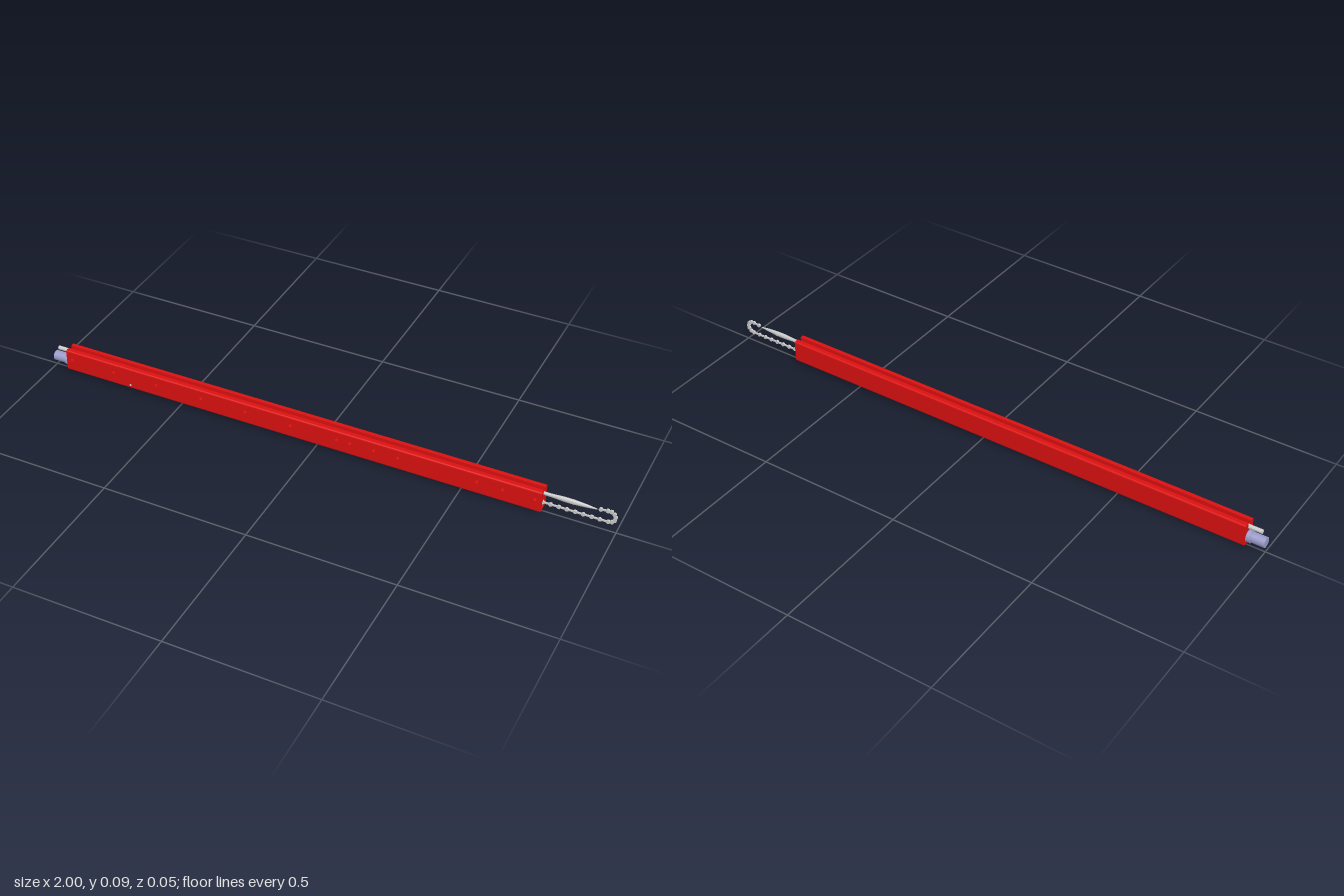
import * as THREE from 'three';

const grey = new THREE.MeshStandardMaterial({ color: 0xcccccc, side: THREE.DoubleSide });
const red = new THREE.MeshStandardMaterial({ color: 0xdd1111 });
const blue = new THREE.MeshStandardMaterial({ color: 0x9c9ccc });

const X0 = -0.94, X1 = 0.765, LEN = X1 - X0;
const W = 0.025, SLOT = 0.0075, BULB = 0.0135, BOT = 0.01, TOP = 0.088;
const BAND0 = 0.046, BAND1 = 0.066, R = 0.007;

export function createModel() {
  const root = new THREE.Group();

  function add(parent, name, geo, mat, x = 0, y = 0, z = 0) {
    const m = new THREE.Mesh(geo, mat);
    m.name = name;
    m.position.set(x, y, z);
    parent.add(m);
    return m;
  }
  const cylX = (r, len, seg = 24) => new THREE.CylinderGeometry(r, r, len, seg).rotateZ(Math.PI / 2);
  const cylZ = (r, len, seg = 12) => new THREE.CylinderGeometry(r, r, len, seg).rotateX(Math.PI / 2);
  // Extrudes a (-z, y) section along the rail
  const alongX = (shape) => new THREE.ExtrudeGeometry(shape, { depth: LEN, bevelEnabled: false, curveSegments: 6 })
    .rotateY(Math.PI / 2).translate(X0, 0, 0);

  // Channel with a keyhole cavity; its front wall stops below the band of holes
  const housing = new THREE.Group();
  housing.name = 'housing';
  root.add(housing);
  const s = new THREE.Shape();
  s.moveTo(-W, BAND0);
  s.lineTo(-W, BOT + R);
  s.quadraticCurveTo(-W, BOT, -W + R, BOT);
  s.lineTo(W - R, BOT);
  s.quadraticCurveTo(W, BOT, W, BOT + R);
  s.lineTo(W, TOP - R);
  s.quadraticCurveTo(W, TOP, W - R, TOP);
  s.lineTo(SLOT, TOP);
  s.lineTo(SLOT, BAND0);
  s.quadraticCurveTo(BULB, BAND0 - 0.002, BULB, 0.038);
  s.lineTo(BULB, 0.024);
  s.quadraticCurveTo(BULB, 0.018, 0.007, 0.018);
  s.lineTo(-0.007, 0.018);
  s.quadraticCurveTo(-BULB, 0.018, -BULB, 0.024);
  s.lineTo(-BULB, 0.038);
  s.quadraticCurveTo(-BULB, BAND0 - 0.002, -SLOT, BAND0);
  add(housing, 'channel', alongX(s), red);

  // Front wall above the holes
  const lip = new THREE.Shape();
  lip.moveTo(-W, BAND1);
  lip.lineTo(-SLOT, BAND1);
  lip.lineTo(-SLOT, TOP);
  lip.lineTo(-W + R, TOP);
  lip.quadraticCurveTo(-W, TOP, -W, TOP - R);
  add(housing, 'frontLip', alongX(lip), red);

  // Front wall band with its row of holes
  const band = new THREE.Shape();
  band.moveTo(X0, BAND0);
  band.lineTo(X1, BAND0);
  band.lineTo(X1, BAND1);
  band.lineTo(X0, BAND1);
  for (const x of [-0.92, -0.755, -0.59, -0.42, -0.255, -0.09, 0.075, 0.122, 0.205, 0.288, 0.555, 0.64, 0.745]) {
    const hole = new THREE.Path();
    hole.absarc(x, 0.056, 0.006, 0, Math.PI * 2, true);
    band.holes.push(hole);
  }
  add(housing, 'frontBand', new THREE.ExtrudeGeometry(band, { depth: W - SLOT, bevelEnabled: false, curveSegments: 8 }),
    red, 0, 0, SLOT);

  // Stepped rod lying in the slot
  add(root, 'rodThick', cylX(0.007, 1.085), grey, -0.4425, 0.071);
  add(root, 'rodThin', cylX(0.005, 0.70), grey, 0.44, 0.071);

  // Pointed tip on the rod
  const profile = [[0, 0.755], [0.006, 0.755], [0.0065, 0.79], [0.009, 0.83], [0.009, 0.86], [0.006, 0.9], [0.002, 0.932], [0, 0.935]]
    .map(([r, x]) => new THREE.Vector2(r, x));
  const tip = add(root, 'rodTip', new THREE.LatheGeometry(profile, 20).rotateZ(-Math.PI / 2), grey, 0, 0.07);
  tip.scale.z = 0.75;
  add(root, 'tipPin', cylZ(0.004, 0.016), grey, 0.86, 0.07);

  // Link chain: straight run in the cavity, then a loop back over the end
  const chain = new THREE.Group();
  chain.name = 'chain';
  root.add(chain);
  const pitch = 0.0262, cx = 0.972, cy = 0.055, cr = 0.021;
  const points = [];
  for (let x = cx; x > -0.9; x -= pitch) points.unshift([x, cy - cr]);
  for (let i = 1; i <= 6; i++) {
    const a = -Math.PI / 2 + (i / 6) * Math.PI * 1.08;
    points.push([cx + Math.cos(a) * cr, cy + Math.sin(a) * cr]);
  }
  points.push([0.945, 0.073]);
  const roller = cylZ(0.0065, 0.007);
  points.forEach(([x, y], i) => {
    add(chain, 'roller', roller, grey, x, y);
    if (!i) return;
    const [px, py] = points[i - 1];
    const d = Math.hypot(x - px, y - py);
    const plate = add(chain, 'linkPlate', new THREE.BoxGeometry(d, 0.005, 0.005), grey, (x + px) / 2, (y + py) / 2);
    plate.rotation.z = Math.atan2(y - py, x - px);
  });

  // Guide block seen in the mouth of the cavity
  add(root, 'guide', cylX(0.0125, 0.03), grey, 0.745, 0.032);

  // Drive unit on the left end
  add(root, 'driveBody', cylX(0.0175, 0.05, 32), blue, -0.975, 0.036);
  add(root, 'driveFlange', cylX(0.0205, 0.014, 32), blue, -0.947, 0.036);

  // Small fittings under the rail
  add(root, 'bottomPlate', new THREE.BoxGeometry(0.06, 0.005, 0.024), grey, -0.815, 0.008);
  for (const x of [-0.838, -0.797]) {
    add(root, 'bottomPin', new THREE.CylinderGeometry(0.0045, 0.0045, 0.01, 12), grey, x, 0.005);
  }
  add(root, 'bottomCatch', new THREE.BoxGeometry(0.03, 0.005, 0.014), grey, -0.69, 0.0085);
  add(root, 'sidePin', cylZ(0.004, 0.004), grey, -0.69, 0.024, 0.0245);

  return root;
}
